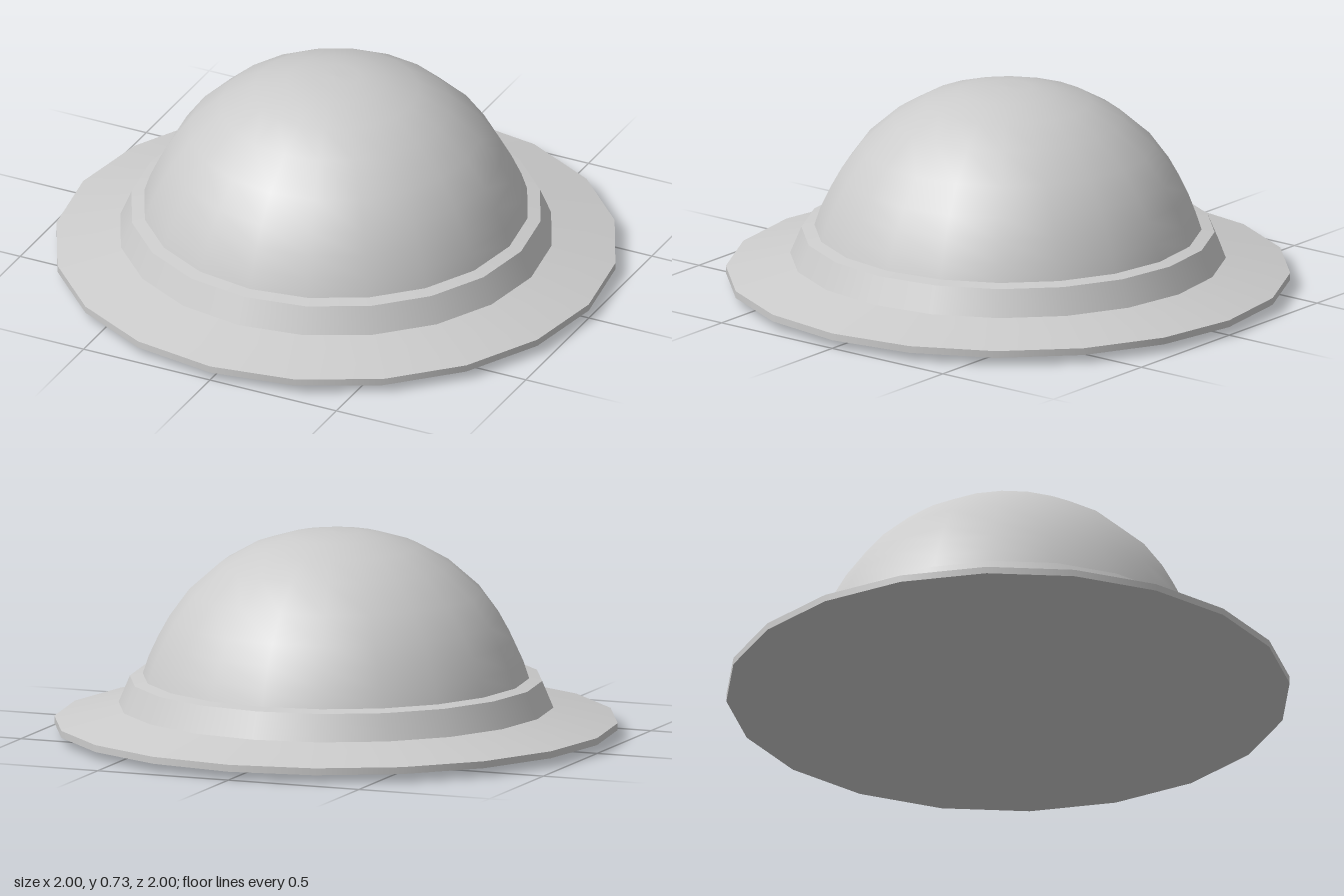
import * as THREE from 'three';

const SIDES = 20;

// Revolve a [radius, height] profile; each part keeps its own smooth normals
function revolve(name, profile, material) {
  const points = profile.map(([r, y]) => new THREE.Vector2(r, y));
  const mesh = new THREE.Mesh(new THREE.LatheGeometry(points, SIDES), material);
  mesh.name = name;
  return mesh;
}

export function createModel() {
  const group = new THREE.Group();
  group.name = 'domedHat';
  const material = new THREE.MeshStandardMaterial({ color: 0xcccccc, side: THREE.DoubleSide });

  const parts = {
    // Brim: shallow underside, thin edge and sloping top
    brimUnderside: [[0, 0], [1, 0.03]],
    brimEdge: [[1, 0.03], [1, 0.055]],
    brimTop: [[1, 0.055], [0.772, 0.108]],
    // Band around the crown with a narrow ledge
    bandSide: [[0.772, 0.108], [0.732, 0.203]],
    bandLedge: [[0.732, 0.203], [0.686, 0.212]],
    // Rounded crown
    dome: [[0.686, 0.212], [0.665, 0.275], [0.63, 0.35], [0.59, 0.422], [0.52, 0.518],
      [0.41, 0.615], [0.295, 0.68], [0.175, 0.717], [0.085, 0.73], [0, 0.732]],
  };
  for (const [name, profile] of Object.entries(parts)) group.add(revolve(name, profile, material));
  return group;
}
